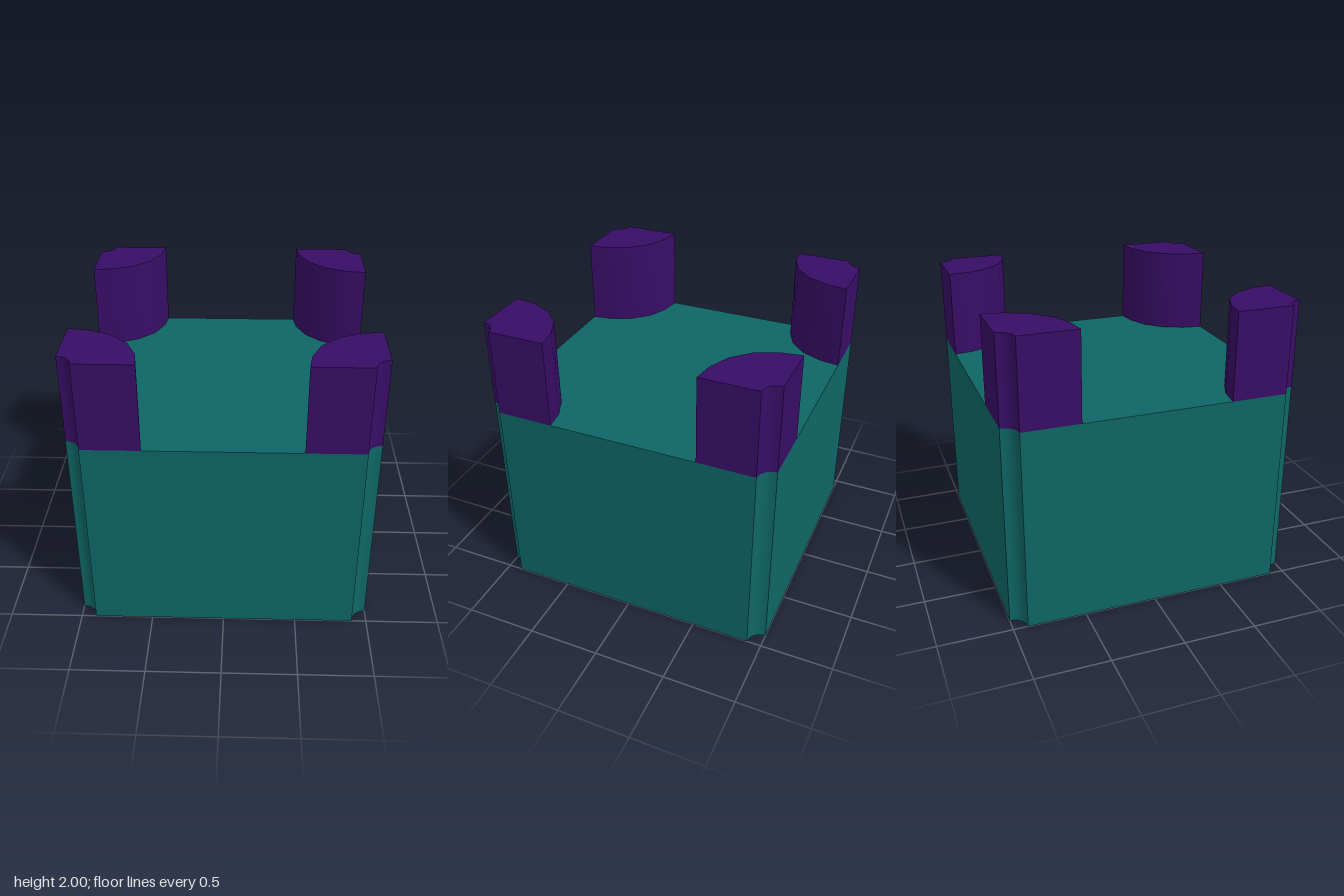
import * as THREE from 'three';
import { toCreasedNormals } from 'three/addons/utils/BufferGeometryUtils.js';

const NOTCH = 0.1;
const BODY_TOP = 1.4;
const NOTCH_STEPS = 6;

// Concave quarter circle around the corner (sx, sz), running counterclockwise round the block
function notchPoints(sx, sz) {
  const start = Math.atan2(-sz, -sx) + Math.PI / 4;
  return Array.from({ length: NOTCH_STEPS + 1 }, (_, i) => {
    const a = start - (i / NOTCH_STEPS) * (Math.PI / 2);
    return new THREE.Vector2(sx + NOTCH * Math.cos(a), sz + NOTCH * Math.sin(a));
  });
}

// Upright prism from a plan outline, smooth along the arcs and sharp at the corners
function prism(points, height, baseY) {
  const geometry = new THREE.ExtrudeGeometry(new THREE.Shape(points), { depth: height, bevelEnabled: false });
  geometry.rotateX(-Math.PI / 2);
  geometry.translate(0, baseY, 0);
  return toCreasedNormals(geometry, 0.6);
}

export function createModel() {
  const group = new THREE.Group();
  const teal = new THREE.MeshStandardMaterial({ color: 0x0f6666 });
  const purple = new THREE.MeshStandardMaterial({ color: 0x380d66 });

  // Square block with a rounded groove down each vertical edge
  const outline = [[1, 1], [-1, 1], [-1, -1], [1, -1]].flatMap(([x, z]) => notchPoints(x, z));
  const body = new THREE.Mesh(prism(outline, BODY_TOP, 0), teal);
  body.name = 'body';
  group.add(body);

  // Quarter-round corner post, its inner face given as offsets from the corner
  const innerFace = [[0.49, 0], [0.47, 0.14], [0.405, 0.288], [0.288, 0.405], [0.14, 0.47], [0, 0.49]]
    .map(([dx, dz]) => new THREE.Vector2(1 - dx, 1 - dz));
  const postGeometry = prism([...notchPoints(1, 1), ...innerFace], 2 - BODY_TOP, BODY_TOP);
  ['backLeftPost', 'backRightPost', 'frontRightPost', 'frontLeftPost'].forEach((name, i) => {
    const post = new THREE.Mesh(postGeometry, purple);
    post.name = name;
    post.rotation.y = (i * Math.PI) / 2;
    group.add(post);
  });

  return group;
}
